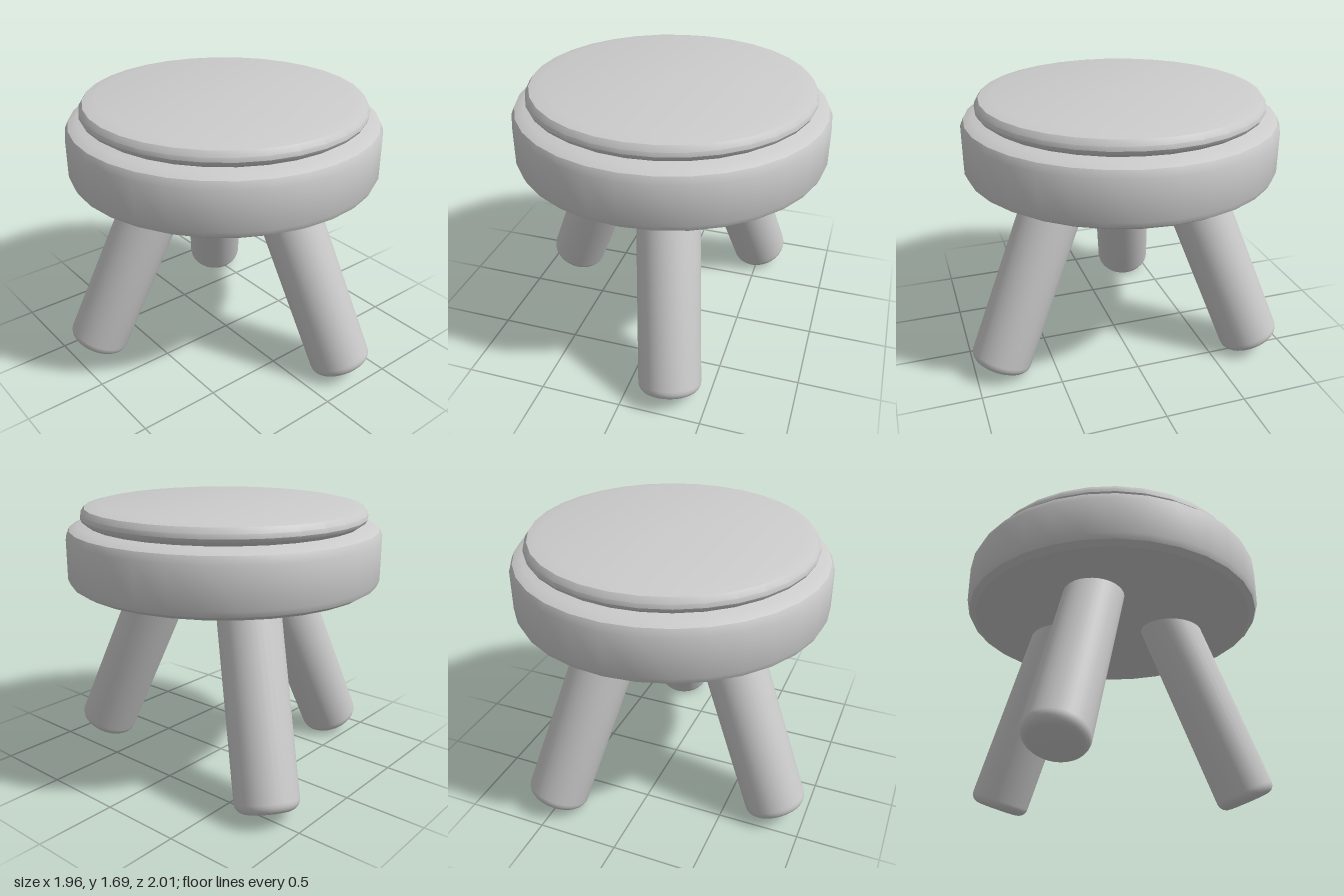
import * as THREE from 'three';
import { toCreasedNormals } from 'three/addons/utils/BufferGeometryUtils.js';

const material = new THREE.MeshStandardMaterial({ color: 0xcccccc });

// Solid of revolution from [radius, height] pairs listed bottom to top
function turned(name, profile, crease) {
  const lathe = new THREE.LatheGeometry(profile.map(([r, y]) => new THREE.Vector2(r, y)), 32);
  const mesh = new THREE.Mesh(toCreasedNormals(lathe, crease), material);
  mesh.name = name;
  return mesh;
}

// Round leg with a softened foot, running from the foot centre up to the seat
function leg(name, foot, top) {
  const R = 0.19, bevel = 0.06;
  const a = new THREE.Vector3(...foot), b = new THREE.Vector3(...top);
  const axis = b.clone().sub(a);
  const length = axis.length() + 0.15; // sinks into the seat
  const profile = [[0, 0]];
  for (let i = 0; i <= 5; i++) {
    const t = (i / 5) * Math.PI / 2;
    profile.push([R - bevel + bevel * Math.sin(t), bevel - bevel * Math.cos(t)]);
  }
  profile.push([R, length], [0, length]);
  const mesh = turned(name, profile, 0.6);
  mesh.position.copy(a);
  mesh.quaternion.setFromUnitVectors(new THREE.Vector3(0, 1, 0), axis.normalize());
  return mesh;
}

export function createModel() {
  const stool = new THREE.Group();
  stool.name = 'stool';

  // Thick seat slab with chamfered rims, and the thinner cushion on it
  const seat = turned('seat', [
    [0, 1.2], [0.91, 1.2], [0.95, 1.225], [0.965, 1.26],
    [0.965, 1.5], [0.945, 1.545], [0.89, 1.572], [0, 1.572],
  ], 0.5);
  const cushion = turned('cushion', [
    [0, 1.57], [0.83, 1.57], [0.865, 1.595], [0.875, 1.615],
    [0.872, 1.64], [0.85, 1.672], [0.77, 1.69], [0, 1.69],
  ], 0.5);
  for (const part of [seat, cushion]) {
    part.position.set(0.012, 0, -0.035);
    stool.add(part);
  }

  // Three splayed legs
  stool.add(
    leg('frontLeg', [0.274, 0.057, 0.85], [0.115, 1.2, 0.37]),
    leg('rightLeg', [-0.828, 0.057, -0.347], [-0.36, 1.2, -0.16]),
    leg('backLeg', [0.508, 0.057, -0.787], [0.22, 1.2, -0.39]),
  );
  return stool;
}
